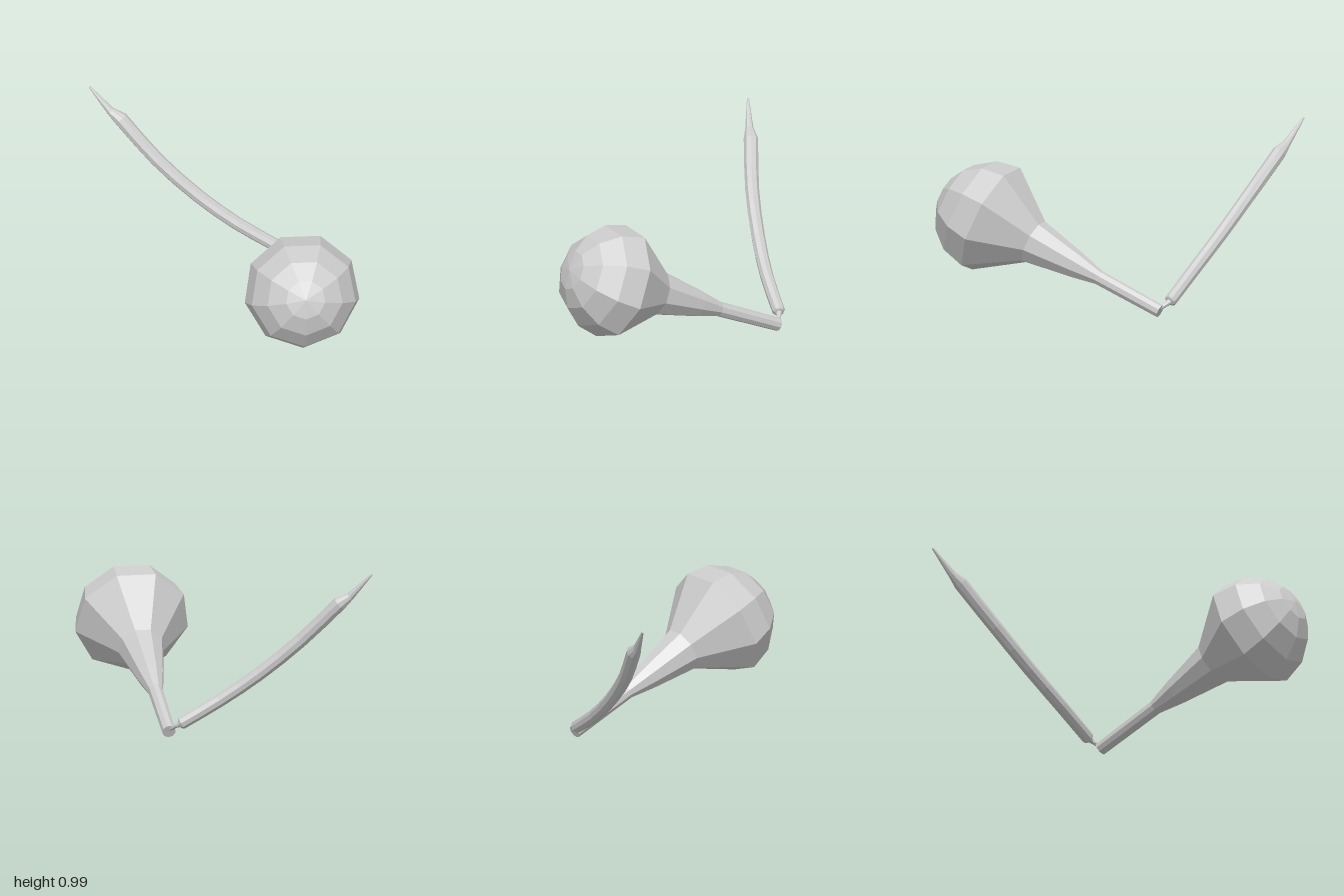
import * as THREE from 'three';

const SIDES = 9;
const material = new THREE.MeshStandardMaterial({ color: 0xcccccc, flatShading: true });

// Skin of polygon rings { p: centre, r: radius } along a path; r = 0 closes an end.
// ref picks where each ring starts, phase (degrees) turns it.
function sweep(name, rings, ref, phase) {
  const positions = [], index = [];
  rings.forEach(({ p, r }, i) => {
    const before = rings[Math.max(i - 1, 0)].p, after = rings[Math.min(i + 1, rings.length - 1)].p;
    const d = after.clone().sub(before).normalize();
    const u = ref.clone().addScaledVector(d, -ref.dot(d)).normalize();
    const v = d.clone().cross(u);
    for (let k = 0; k < SIDES; k++) {
      const a = THREE.MathUtils.degToRad(phase + (k * 360) / SIDES);
      const q = p.clone().addScaledVector(u, r * Math.cos(a)).addScaledVector(v, r * Math.sin(a));
      positions.push(q.x, q.y, q.z);
      if (i === rings.length - 1) continue;
      const k2 = (k + 1) % SIDES, n = i * SIDES, m = n + SIDES;
      if (r > 0) index.push(n + k, n + k2, m + k);
      if (rings[i + 1].r > 0) index.push(n + k2, m + k2, m + k);
    }
  });
  const geometry = new THREE.BufferGeometry();
  geometry.setAttribute('position', new THREE.Float32BufferAttribute(positions, 3));
  geometry.setIndex(index);
  geometry.computeVertexNormals();
  const mesh = new THREE.Mesh(geometry, material);
  mesh.name = name;
  return mesh;
}

export function createModel() {
  const group = new THREE.Group();
  group.name = 'bulbWithTail';

  // Bulb and its stem: distances along a straight axis, with a domed front
  const start = new THREE.Vector3(0.458, 0.038, -0.36);
  const axis = new THREE.Vector3(-0.23, 0.432, 1).normalize();
  const profile = [[0, 0], [0, 0.039], [0.417, 0.043], [0.567, 0.078], [0.857, 0.133]];
  const R = 0.333;
  for (const lat of [0, 25, 49, 70, 90]) {
    const a = THREE.MathUtils.degToRad(lat);
    profile.push([1.14 + R * Math.sin(a), lat === 90 ? 0 : R * Math.cos(a)]);
  }
  const bulbRings = profile.map(([t, r]) => ({ p: start.clone().addScaledVector(axis, t), r }));
  group.add(sweep('bulbAndStem', bulbRings, new THREE.Vector3(0, 0, -1), 69));

  // Curved tail with a pointed tip
  const curve = new THREE.CatmullRomCurve3([
    [0.403, 0.092, -0.412], [0.2, 0.225, -0.5], [0, 0.385, -0.61], [-0.2, 0.585, -0.74], [-0.375, 0.81, -0.885],
  ].map((c) => new THREE.Vector3(...c)));
  const tailRings = curve.getPoints(8).map((p, i) => ({ p, r: 0.037 + 0.005 * (i / 8) }));
  tailRings.push(
    { p: new THREE.Vector3(-0.425, 0.852, -0.917), r: 0.024 },
    { p: new THREE.Vector3(-0.526, 0.987, -0.996), r: 0.006 },
    { p: new THREE.Vector3(-0.527, 0.988, -0.997), r: 0 },
  );
  tailRings.unshift(
    { p: new THREE.Vector3(0.416, 0.086, -0.405), r: 0 },
    { p: new THREE.Vector3(0.413, 0.088, -0.407), r: 0.027 },
  );
  group.add(sweep('tail', tailRings, new THREE.Vector3(0, 1, 0), 0));

  // Thin joint between stem and tail
  const joint = [[0.452, 0.05, -0.345, 0], [0.45, 0.052, -0.35, 0.016], [0.428, 0.076, -0.392, 0.014],
    [0.405, 0.09, -0.41, 0.02], [0.4, 0.093, -0.413, 0]];
  group.add(sweep('joint', joint.map(([x, y, z, r]) => ({ p: new THREE.Vector3(x, y, z), r })),
    new THREE.Vector3(0, 1, 0), 0));

  return group;
}
